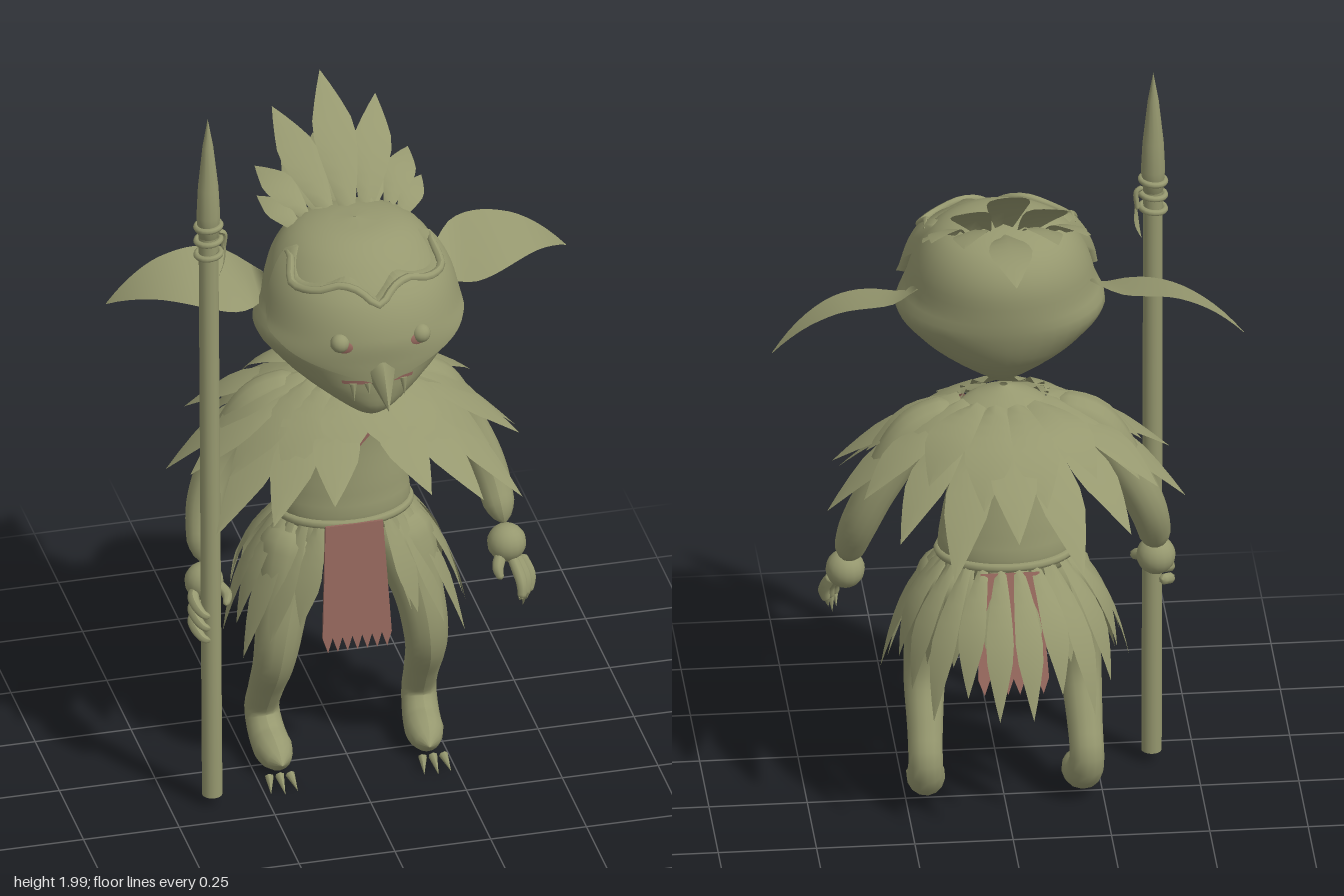
import * as THREE from 'three';
import { ParametricGeometry } from 'three/addons/geometries/ParametricGeometry.js';

const V = (x, y, z) => new THREE.Vector3(x, y, z);
const olive = new THREE.MeshStandardMaterial({ color: 0x96986f, side: THREE.DoubleSide });
olive.name = 'olive';
const rust = new THREE.MeshStandardMaterial({ color: 0x95685d, side: THREE.DoubleSide });
rust.name = 'rust';

// Smooth interpolation of rows [key, a, b, ...] at key k
function at(rows, k) {
  let i = 0;
  while (i < rows.length - 2 && k > rows[i + 1][0]) i++;
  const p = rows[i], q = rows[i + 1], o = rows[i - 1] || p, r = rows[i + 2] || q;
  const h = q[0] - p[0], t = THREE.MathUtils.clamp((k - p[0]) / h, 0, 1), t2 = t * t, t3 = t2 * t;
  return p.slice(1).map((a, j) => {
    const c = j + 1, m0 = (q[c] - o[c]) / (q[0] - o[0]) * h, m1 = (r[c] - p[c]) / (r[0] - p[0]) * h;
    return (2 * t3 - 3 * t2 + 1) * a + (t3 - 2 * t2 + t) * m0 + (3 * t2 - 2 * t3) * q[c] + (t3 - t2) * m1;
  });
}

// Rows: height, half width, front z, back z
const headRows = [[1.15, 0.004, 0.2, 0.19], [1.165, 0.04, 0.26, 0.07], [1.2, 0.09, 0.31, 0], [1.25, 0.16, 0.326, -0.06],
  [1.3, 0.215, 0.33, -0.1], [1.37, 0.266, 0.335, -0.128], [1.44, 0.243, 0.335, -0.138], [1.52, 0.22, 0.305, -0.136],
  [1.58, 0.185, 0.25, -0.105], [1.615, 0.14, 0.2, -0.055], [1.633, 0.08, 0.15, 0.01], [1.64, 0.004, 0.082, 0.078]];
const torsoRows = [[0.66, 0.02, -0.01, -0.05], [0.68, 0.13, 0.05, -0.12], [0.74, 0.17, 0.085, -0.155], [0.82, 0.165, 0.085, -0.15],
  [0.95, 0.14, 0.08, -0.13], [1.06, 0.14, 0.085, -0.11], [1.12, 0.13, 0.08, -0.09], [1.155, 0.08, 0.07, -0.05], [1.18, 0.01, 0.02, 0]];

function ringPoint(rows, angle, y, offset = 0) {
  const [w, f, b] = at(rows, y);
  return V((w + offset) * Math.sin(angle), y, (f + b) / 2 + ((f - b) / 2 + offset) * Math.cos(angle));
}

function mesh(parent, name, geometry, material = olive) {
  const m = new THREE.Mesh(geometry, material);
  m.name = name;
  parent.add(m);
  return m;
}

function group(parent, name) {
  const g = new THREE.Group();
  g.name = name;
  parent.add(g);
  return g;
}

const surface = (fn, nu, nv) => new ParametricGeometry((u, v, out) => out.copy(fn(u, v)), nu, nv);

function body(rows, nu, nv) {
  const y0 = rows[0][0], h = rows[rows.length - 1][0] - y0;
  return surface((u, v) => ringPoint(rows, u * Math.PI * 2, y0 + h * (1 - Math.cos(Math.PI * v)) / 2), nu, nv);
}

// Tube with a radius that changes along its path; ends are pinched shut
function limb(points, radii, sides = 14) {
  const curve = new THREE.CatmullRomCurve3(points), n = 32, g = new THREE.TubeGeometry(curve, n, 1, sides);
  const pos = g.attributes.position, p = V();
  const rows = radii.map((r, i) => [i / (radii.length - 1), r]);
  for (let i = 0; i < pos.count; i++) {
    const t = Math.floor(i / (sides + 1)) / n, c = curve.getPointAt(t);
    const end = Math.sqrt(Math.min(1, Math.min(t, 1 - t) * 12 + 0.0001));
    p.fromBufferAttribute(pos, i).sub(c).multiplyScalar(at(rows, t)[0] * end).add(c);
    pos.setXYZ(i, p.x, p.y, p.z);
  }
  g.computeVertexNormals();
  return g;
}

// Pointed leaf with a raised mid rib
const leafWidth = [[0, 0.35], [0.25, 0.75], [0.55, 1], [0.78, 0.58], [1, 0]];
function leaf(base, tip, width, bend, up, rib = 0.12) {
  const dir = tip.clone().sub(base).normalize(), side = dir.clone().cross(up).normalize(), n = side.clone().cross(dir);
  const pos = [], index = [], rows = 8;
  for (let i = 0; i <= rows; i++) {
    const t = i / rows, w = at(leafWidth, t)[0] * width / 2;
    for (const s of [-1, 0, 1]) {
      const p = base.clone().lerp(tip, t).addScaledVector(n, bend * Math.sin(Math.PI * t) + (s ? 0 : rib * width * (1 - t)));
      pos.push(...p.addScaledVector(side, s * w).toArray());
    }
    if (i < rows) for (const a of [i * 3, i * 3 + 1]) index.push(a, a + 1, a + 3, a + 1, a + 4, a + 3);
  }
  const g = new THREE.BufferGeometry();
  g.setAttribute('position', new THREE.Float32BufferAttribute(pos, 3));
  g.setIndex(index);
  g.computeVertexNormals();
  return g;
}

// Cone from base to tip
function spike(base, tip, radius, sides = 8) {
  const d = tip.clone().sub(base), g = new THREE.ConeGeometry(radius, d.length(), sides);
  g.translate(0, d.length() / 2, 0);
  g.applyQuaternion(new THREE.Quaternion().setFromUnitVectors(V(0, 1, 0), d.normalize()));
  return g.translate(base.x, base.y, base.z);
}

// Cloth hanging down from y = 0 with a ragged hem
function cloth(width, length, teeth) {
  const s = new THREE.Shape();
  s.moveTo(-width / 2 + 0.015, 0);
  for (let i = 0; i <= teeth * 2; i++) s.lineTo(-width / 2 + width * i / (teeth * 2), -length + (i % 2 ? 0 : 0.04));
  s.lineTo(width / 2 - 0.015, 0);
  return new THREE.ExtrudeGeometry(s, { depth: 0.008, bevelEnabled: false });
}

// Ring of leaves round the body, open by `gap` either side of the front
function fan(parent, name, count, gap, base, tip, width, bend) {
  for (let i = 0; i < count; i++) {
    const a = gap + (Math.PI * 2 - gap * 2) * i / (count - 1), s = Math.sin(a), c = Math.cos(a);
    const j = ((Math.min(i, count - 1 - i) * 7) % 5) / 4 - 0.5, r = 1 + j * 0.1, z = c > 0 ? tip.front : tip.back;
    mesh(parent, name, leaf(V(base.x * s, base.y, base.z0 + base.z * c),
      V(tip.x * s * r, tip.y + j * tip.jitter, z * c * r), width, bend * (1 - 0.6 * c), V(s, 0.8, c)));
  }
}

export function createModel() {
  const model = new THREE.Group();
  const head = group(model, 'head');
  mesh(head, 'skull', body(headRows, 40, 32));

  // Face mask: a raised shell with a notched brow and swept-back points
  const high = [[0, 1.53], [0.3, 1.57], [0.6, 1.555], [1, 1.55], [1.25, 1.6], [1.42, 1.585]];
  const low = [[0, 1.31], [0.5, 1.36], [1, 1.405], [1.25, 1.43], [1.42, 1.51]];
  const maskOffset = a => 0.014 + 0.026 * Math.max(0, Math.cos(a));
  mesh(head, 'mask', surface((u, v) => {
    const a = (u - 0.5) * 2.84, l = at(low, Math.abs(a))[0], h = at(high, Math.abs(a))[0];
    const edge = u < 0.01 || u > 0.99 || v < 0.01 || v > 0.99;
    const y = l + (h - l) * THREE.MathUtils.clamp((v - 0.04) / 0.92, 0, 1);
    return ringPoint(headRows, a, y, edge ? -0.005 : maskOffset(a));
  }, 48, 24));
  const brow = [];
  for (let a = -1.4; a < 1.41; a += 0.2) brow.push(ringPoint(headRows, a, at(high, Math.abs(a))[0] - 0.004, maskOffset(a) - 0.004));
  mesh(head, 'browRim', limb(brow, [0.011, 0.011, 0.011], 8));
  mesh(head, 'beak', spike(V(0, 1.35, 0.35), V(0, 1.27, 0.44), 0.042, 6));
  mesh(head, 'mouth', surface((u, v) => ringPoint(headRows, (u - 0.5) * 0.85, 1.297 + 0.01 * v, 0.007), 12, 1), rust);
  for (const s of [-1, 1]) {
    const eye = ringPoint(headRows, s * 0.39, 1.437, 0.034);
    const rim = mesh(head, 'eyeRim', new THREE.SphereGeometry(0.027, 14, 10), rust);
    rim.scale.set(1.15, 0.8, 0.4);
    rim.position.set(eye.x - s * 0.008, eye.y - 0.012, eye.z + 0.002);
    rim.rotation.y = s * 0.38;
    mesh(head, 'eye', new THREE.SphereGeometry(0.025, 14, 10)).position.copy(eye);
    for (const [a, len] of [[0.3, 0.045], [0.13, 0.025]]) {
      const p = ringPoint(headRows, s * a, 1.3, 0.008);
      mesh(head, 'tooth', spike(p, V(p.x, p.y - len, p.z + 0.012), 0.01, 6));
    }
    // Ear: broad drooping leaf, cupped underneath
    mesh(head, 'ear', surface((u, v) => {
      const rear = at([[0, 0], [0.22, -0.112], [0.6, -0.13], [0.85, -0.122], [1, -0.112]], v)[0];
      const front = at([[0, 0.07], [0.25, 0.105], [0.5, 0.068], [0.83, -0.04], [1, -0.108]], v)[0];
      const y = 1.465 + 0.04 * Math.sin(v * 2.6) - 0.105 * v * v * v - 0.02 * v;
      return V(s * (0.22 + 0.38 * v), y - 0.065 * u * Math.sin(Math.PI * Math.sqrt(v)), rear + (front - rear) * u);
    }, 8, 16));
  }

  // Crest feathers on the crown
  const crest = group(head, 'crest');
  for (const s of [-1, 1]) {
    for (const [bx, tx, ty, tz, w] of [[0.05, 0.135, 1.8, -0.24, 0.1], [0.11, 0.2, 1.68, -0.16, 0.08], [0.06, 0.12, 1.68, -0.2, 0.09]])
      mesh(crest, 'crestFeather', leaf(V(s * bx, 1.615, 0), V(s * tx, ty, tz), w, 0.02, V(s * 0.2, 1, 0.3)));
    mesh(crest, 'sideFeather', leaf(V(s * 0.13, 1.59, 0.03), V(s * 0.215, 1.64, -0.08), 0.06, 0.015, V(s * 0.5, 1, 0)));
  }
  mesh(crest, 'crestFeather', leaf(V(0, 1.62, 0.01), V(0, 1.865, -0.28), 0.11, 0.025, V(0, 1, 0.4)));
  mesh(crest, 'crestFeather', leaf(V(0, 1.61, -0.02), V(0, 1.64, -0.35), 0.11, 0.035, V(0, 1, 0)));

  // Torso, belt and chest strap
  mesh(model, 'torso', body(torsoRows, 28, 24));
  const belt = mesh(model, 'belt', new THREE.TorusGeometry(0.17, 0.012, 8, 40));
  belt.rotation.x = Math.PI / 2;
  belt.scale.y = 0.72;
  belt.position.set(0, 0.74, -0.035);
  // The strap crosses the chest and wraps a little way behind the left shoulder
  for (const [side, start] of [[1, 0], [-1, 0.65]])
    mesh(model, 'chestStrap', surface((u, v) => {
      const k = start + (1 - start) * v;
      const x = -0.085 + 0.21 * k + 0.03 * (u - 0.5), y = 0.9 + 0.225 * k - 0.035 * (u - 0.5);
      const [w, f, b] = at(torsoRows, y);
      return V(x, y, (f + b) / 2 + side * ((f - b) / 2 + 0.014) * Math.sqrt(Math.max(0.02, 1 - (x / (w + 0.014)) ** 2)));
    }, 2, 16), rust);

  // Feather cape: two fans around the shoulders
  const cape = group(model, 'cape');
  fan(cape, 'longFeather', 17, 0.3, { x: 0.14, y: 1.125, z: 0.08, z0: 0 }, { x: 0.45, y: 0.91, front: 0.42, back: 0.43, jitter: -0.13 }, 0.12, 0.02);
  fan(cape, 'shortFeather', 14, 0.22, { x: 0.11, y: 1.15, z: 0.075, z0: 0.01 }, { x: 0.36, y: 0.99, front: 0.29, back: 0.33, jitter: -0.08 }, 0.125, 0.025);

  // Feather skirt with front and back cloths
  const skirt = group(model, 'skirt');
  fan(skirt, 'skirtFeather', 20, 0.55, { x: 0.165, y: 0.735, z: 0.12, z0: -0.035 }, { x: 0.31, y: 0.43, front: 0.16, back: 0.355, jitter: -0.1 }, 0.07, 0.024);
  fan(skirt, 'innerFeather', 12, 0.75, { x: 0.16, y: 0.73, z: 0.115, z0: -0.035 }, { x: 0.24, y: 0.48, front: 0.13, back: 0.28, jitter: 0.08 }, 0.07, 0.015);
  const front = mesh(skirt, 'frontCloth', cloth(0.18, 0.35, 7), rust);
  front.position.set(-0.005, 0.745, 0.092);
  front.rotation.x = -0.1;
  const back = mesh(skirt, 'backCloth', cloth(0.18, 0.31, 6), rust);
  back.position.set(0, 0.73, -0.165);
  back.rotation.x = 0.38;

  // Limbs
  for (const s of [-1, 1]) {
    const name = s > 0 ? 'left' : 'right';
    const leg = group(model, name + 'Leg');
    mesh(leg, 'legAndFoot', limb([V(s * 0.11, 0.72, -0.03), V(s * 0.15, 0.6, 0.01), V(s * 0.185, 0.45, 0.047), V(s * 0.198, 0.34, 0.038),
      V(s * 0.203, 0.23, -0.025), V(s * 0.205, 0.14, -0.066), V(s * 0.2, 0.08, -0.02), V(s * 0.192, 0.06, 0.1)],
    [0.09, 0.085, 0.066, 0.058, 0.049, 0.044, 0.048, 0.053]));
    for (const k of [-1, 0, 1])
      mesh(leg, 'toeClaw', spike(V(s * 0.2 + k * 0.027, 0.035, 0.1), V(s * 0.2 + k * 0.035, 0.012, 0.16 - Math.abs(k) * 0.01), 0.012, 6));

    const arm = group(model, name + 'Arm');
    mesh(arm, 'armTube', limb([V(s * 0.1, 1.11, 0), V(s * 0.22, 1.07, -0.015), V(s * 0.32, 0.92, -0.025), V(s * 0.37, 0.8, 0),
      V(s * 0.395, 0.67, 0.07)], [0.055, 0.062, 0.052, 0.048, 0.035]));
    mesh(arm, 'palm', new THREE.SphereGeometry(0.05, 16, 12)).position.set(s * 0.395, 0.63, 0.09);
    if (s > 0) {
      for (const k of [-1, 0, 1]) {
        mesh(arm, 'finger', limb([V(0.415 + k * 0.012, 0.6, 0.11), V(0.43 + k * 0.015, 0.55, 0.15 - k * 0.015), V(0.425 + k * 0.012, 0.51, 0.165 - k * 0.015)],
          [0.014, 0.015, 0.011], 8));
        mesh(arm, 'claw', spike(V(0.425 + k * 0.012, 0.52, 0.163 - k * 0.015), V(0.422 + k * 0.01, 0.475 + Math.abs(k) * 0.015, 0.15), 0.01, 6));
      }
      mesh(arm, 'thumb', limb([V(0.375, 0.61, 0.11), V(0.36, 0.585, 0.14), V(0.365, 0.56, 0.155)], [0.015, 0.015, 0.008], 8));
    } else {
      // Fingers curled round the staff
      for (const k of [0, 1, 2]) {
        const y = 0.61 - k * 0.035;
        mesh(arm, 'finger', limb([V(-0.41, y + 0.015, 0.095), V(-0.433, y, 0.13), V(-0.42, y - 0.025, 0.175), V(-0.4, y - 0.035, 0.18)],
          [0.014, 0.015, 0.013, 0.008], 8));
      }
      mesh(arm, 'thumb', limb([V(-0.37, 0.63, 0.1), V(-0.347, 0.61, 0.135), V(-0.358, 0.6, 0.172)], [0.014, 0.014, 0.008], 8));
    }
  }

  // Spear: tilted shaft, lathed point, bindings and a hanging feather
  const spear = group(model, 'spear');
  spear.position.set(-0.39, 0.04, 0.155);
  spear.rotation.x = -0.024;
  mesh(spear, 'shaft', new THREE.CylinderGeometry(0.025, 0.026, 1.65, 14)).position.y = 0.825;
  mesh(spear, 'point', new THREE.LatheGeometry([[0, 1.6], [0.026, 1.62], [0.031, 1.68], [0.027, 1.76], [0.014, 1.88], [0, 1.96]]
    .map(p => new THREE.Vector2(...p)), 12));
  for (const y of [1.57, 1.61, 1.65]) {
    const ring = mesh(spear, 'binding', new THREE.TorusGeometry(0.031, 0.008, 8, 20));
    ring.position.y = y;
    ring.rotation.set(Math.PI / 2, 0.1, 0);
  }
  mesh(spear, 'charmCord', limb([V(0.025, 1.63, 0), V(0.042, 1.62, -0.005), V(0.04, 1.57, -0.01)], [0.007, 0.007, 0.007], 6));
  mesh(spear, 'charmFeather', leaf(V(0.042, 1.6, -0.01), V(0.03, 1.49, -0.015), 0.035, 0.008, V(1, 0, 0.4)));
  return model;
}
